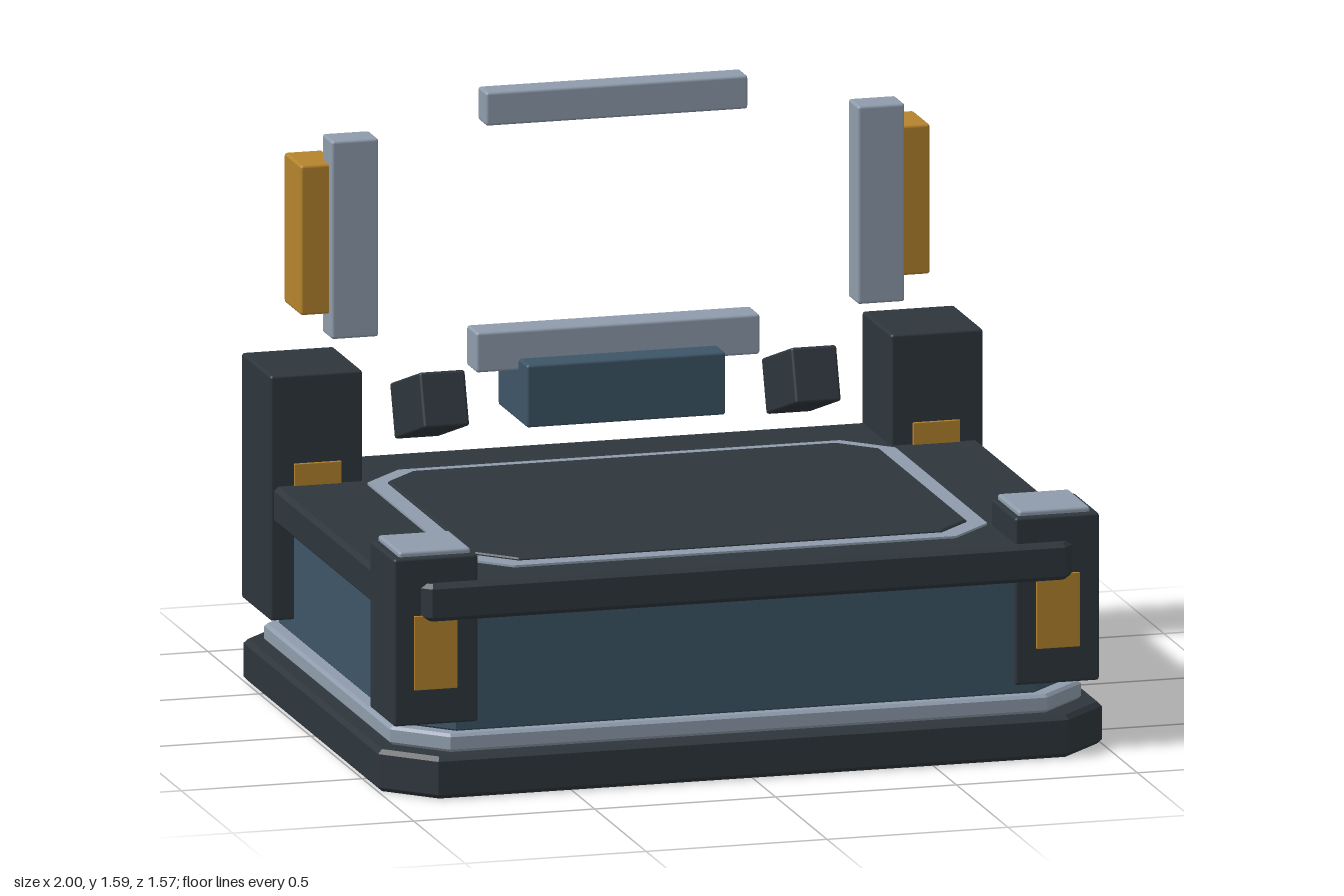
import * as THREE from 'three';
import { RoundedBoxGeometry } from 'three/addons/geometries/RoundedBoxGeometry.js';

const material = (name, color) => {
  const m = new THREE.MeshStandardMaterial({ color });
  m.name = name;
  return m;
};

export function createModel() {
  const dark = material('charcoal', 0x2e363c);
  const grey = material('steel grey', 0x8f9cac);
  const blue = material('slate blue', 0x3d5567);
  const amber = material('amber', 0xb5832d);

  const model = new THREE.Group();
  model.name = 'container';

  const add = (name, geometry, mat, parent = model) => {
    const mesh = new THREE.Mesh(geometry, mat);
    mesh.name = name;
    parent.add(mesh);
    return mesh;
  };

  // Octagonal outline: a rectangle with cut corners
  const octagon = (w, d, c, Type = THREE.Shape) => new Type([
    [w - c, -d], [w, c - d], [w, d - c], [w - c, d],
    [c - w, d], [-w, d - c], [-w, c - d], [c - w, -d],
  ].map(([x, y]) => new THREE.Vector2(x, y)));

  // Lying slab with softened edges, from y0 to y1 and z0 to z1
  const slab = (name, mat, w, z0, z1, y0, y1, cut, bevel = 0.01, rim = 0) => {
    const d = (z1 - z0) / 2;
    const shape = octagon(w, d, cut);
    if (rim) shape.holes.push(octagon(w - rim, d - rim, cut - rim * 0.59, THREE.Path));
    const geometry = new THREE.ExtrudeGeometry(shape, {
      depth: y1 - y0 - 2 * bevel, bevelEnabled: bevel > 0, bevelSize: bevel,
      bevelThickness: bevel, bevelOffset: -bevel, bevelSegments: 1,
    });
    geometry.rotateX(-Math.PI / 2).translate(0, y0 + bevel, (z0 + z1) / 2);
    return add(name, geometry, mat);
  };

  // Softened box given by its limits on each axis
  const block = (name, mat, [x0, x1], [y0, y1], [z0, z1], parent = model, r = 0.008) => {
    const mesh = add(name, new RoundedBoxGeometry(x1 - x0, y1 - y0, z1 - z0, 2, r), mat, parent);
    mesh.position.set((x0 + x1) / 2, (y0 + y1) / 2, (z0 + z1) / 2);
    return mesh;
  };

  // Stacked body
  slab('base', dark, 1, -0.785, 0.785, 0, 0.115, 0.13, 0.012);
  slab('baseTrim', grey, 0.955, -0.74, 0.74, 0.115, 0.165, 0.13, 0.008);
  slab('body', blue, 0.92, -0.71, 0.71, 0.16, 0.49, 0.12);
  slab('lid', dark, 0.975, -0.725, 0.745, 0.475, 0.577, 0.1, 0.012);
  slab('lidTrim', grey, 0.73, -0.52, 0.61, 0.57, 0.583, 0.12, 0, 0.055);
  slab('lidPanel', dark, 0.68, -0.47, 0.56, 0.57, 0.59, 0.095, 0.004);

  // Rear bars and central housing
  block('lowerBar', grey, [-0.392, 0.392], [0.83, 0.94], [-0.625, -0.528]);
  block('upperBar', grey, [-0.362, 0.362], [1.5, 1.592], [-0.62, -0.54]);
  block('hingeHousing', blue, [-0.275, 0.275], [0.69, 0.862], [-0.73, -0.45]);

  // Paired parts, left and right
  for (const s of [1, -1]) {
    const side = new THREE.Group();
    side.name = s > 0 ? 'leftSide' : 'rightSide';
    model.add(side);
    const span = (a, b) => (s > 0 ? [a, b] : [-b, -a]);

    block('frontPost', dark, span(0.742, 0.975), [0.19, 0.648], [0.485, 0.72], side);
    block('frontPostCap', grey, span(0.757, 0.955), [0.64, 0.662], [0.492, 0.7], side);
    block('frontLight', amber, span(0.8, 0.92), [0.287, 0.49], [0.716, 0.725], side, 0.002);

    block('rearPost', dark, span(0.73, 0.985), [0.21, 0.88], [-0.727, -0.445], side);
    block('rearPostLight', amber, span(0.79, 0.92), [0.44, 0.637], [-0.447, -0.438], side, 0.002);

    block('upright', grey, span(0.662, 0.792), [0.948, 1.49], [-0.622, -0.527], side);
    block('uprightLight', amber, span(0.765, 0.87), [1.012, 1.422], [-0.717, -0.555], side);

    // Tilted hinge arm, front end raised
    const arm = block('hingeArm', dark, span(0.45, 0.577), [0.672, 0.822], [-0.707, -0.403], side);
    arm.rotation.x = -0.32;
  }

  return model;
}
